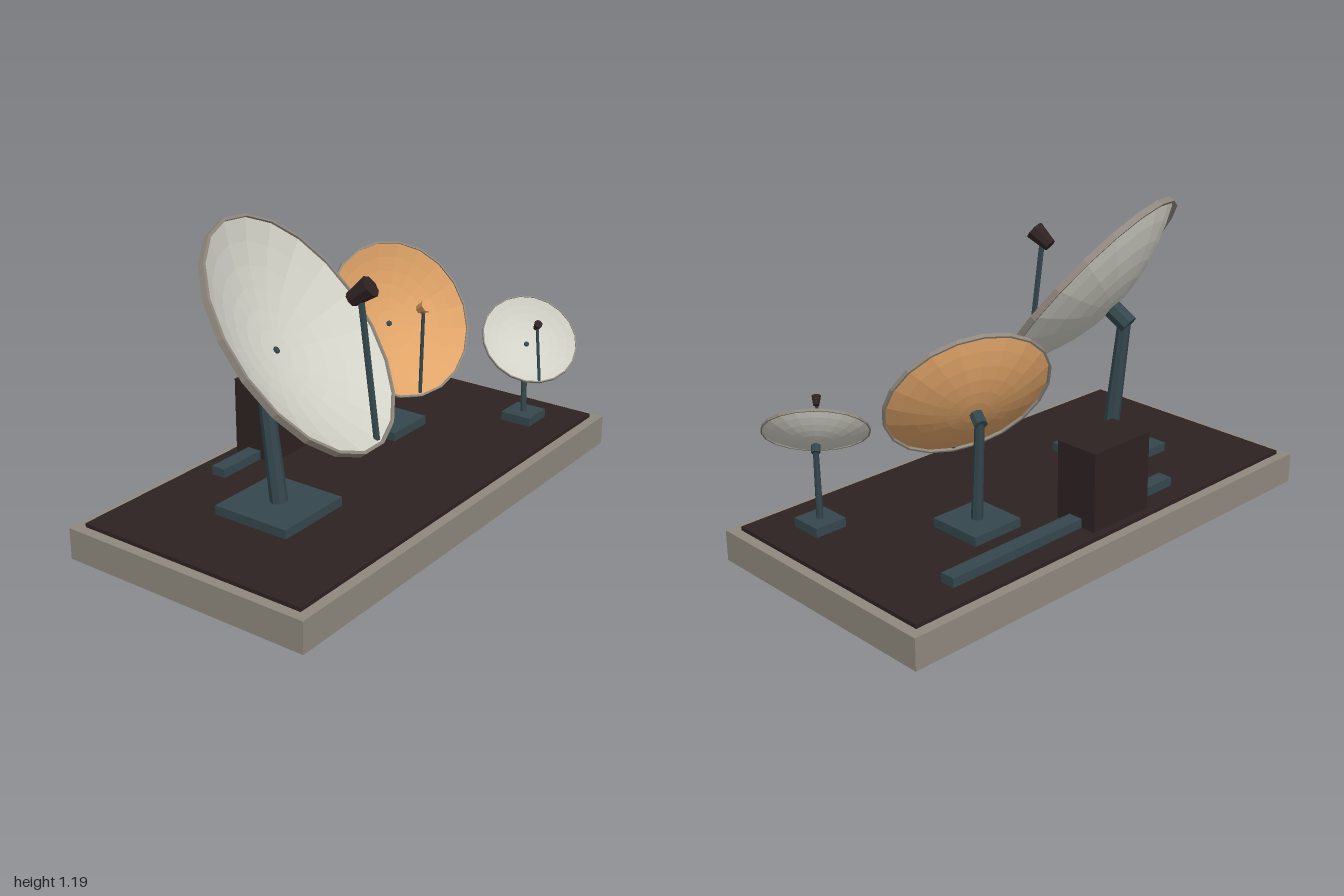
import * as THREE from 'three';

const mat = (name, color) => {
  const m = new THREE.MeshStandardMaterial({ color, flatShading: true, side: THREE.DoubleSide });
  m.name = name;
  return m;
};

export function createModel() {
  const concrete = mat('concrete', 0x8f887e);
  const dark = mat('dark brown', 0x2e2222);
  const steel = mat('blue steel', 0x34474d);
  const white = mat('off white', 0xd3d2c8);
  const orange = mat('orange', 0xe0a468);
  const model = new THREE.Group();
  model.name = 'antennaStation';

  const add = (parent, name, geometry, material, x = 0, y = 0, z = 0) => {
    const mesh = new THREE.Mesh(geometry, material);
    mesh.name = name;
    mesh.position.set(x, y, z);
    parent.add(mesh);
    return mesh;
  };
  const box = (name, w, h, d, m, x, y, z) =>
    add(model, name, new THREE.BoxGeometry(w, h, d), m, x, y + h / 2, z);

  // Tapered rod between two points
  const rod = (parent, name, a, b, rA, rB, sides, m) => {
    const dir = b.clone().sub(a);
    const mid = a.clone().add(b).multiplyScalar(0.5);
    const mesh = add(parent, name, new THREE.CylinderGeometry(rB, rA, dir.length(), sides), m, mid.x, mid.y, mid.z);
    mesh.quaternion.setFromUnitVectors(new THREE.Vector3(0, 1, 0), dir.normalize());
  };

  // Plinth, deck, equipment cabinet and cable duct
  box('plinth', 2, 0.12, 1.04, concrete, 0, 0, 0);
  box('deck', 1.92, 0.015, 0.96, dark, 0, 0.12, 0);
  box('cabinet', 0.29, 0.305, 0.18, dark, -0.045, 0.135, -0.36);
  box('cableDuct', 1.12, 0.035, 0.06, steel, 0.16, 0.135, -0.36);
  add(model, 'cabinetLamp', new THREE.SphereGeometry(0.01, 8, 6), orange, 0.06, 0.4, -0.268);

  // Each antenna: pad, leaning mast, and a tilted head whose local z is the dish axis
  const antenna = ({ name, x, y, z, R, yaw, pitch, pad, focus, back, mastR, hubR, strutR, boltR, skin, horn }) => {
    box(name + 'Pad', pad, 0.035, pad, steel, x, 0.135, z);

    const head = new THREE.Group();
    head.name = name + 'Head';
    head.position.set(x, y, z);
    head.rotation.set(-pitch, yaw, 0, 'YXZ');
    model.add(head);

    const axis = new THREE.Vector3(0, 0, 1).applyEuler(head.rotation);
    const hubPoint = new THREE.Vector3(x, y, z).addScaledVector(axis, -back);
    rod(model, name + 'Mast', new THREE.Vector3(x, 0.17, z), hubPoint, mastR, mastR * 0.8, 8, steel);

    const V = (a, b, c) => new THREE.Vector3(a, b, c);
    rod(head, 'hub', V(0, 0, -back - hubR * 0.6), V(0, 0, -0.004), hubR, hubR, 8, steel);
    rod(head, 'centreBolt', V(0, 0, -0.004), V(0, 0, 0.008), boltR, boltR, 8, steel);

    // Parabolic bowl
    const depth = R * 0.28;
    const bowl = [];
    for (let i = 0; i <= 6; i++) {
      const t = i / 6;
      bowl.push(new THREE.Vector2(Math.max(R * 0.985 * t, 0.0005), depth * t * t));
    }
    add(head, 'dish', new THREE.LatheGeometry(bowl, 20), skin).rotation.x = Math.PI / 2;

    // Rim band
    const rim = [[R, -0.04], [R, 0.012], [R * 0.975, 0.012], [R * 0.975, -0.04], [R, -0.04]]
      .map(([r, h]) => new THREE.Vector2(r, depth + h * R));
    add(head, 'rim', new THREE.LatheGeometry(rim, 20), concrete).rotation.x = Math.PI / 2;

    // Feed strut from the lower rim, and the flared feed horn
    rod(head, 'feedStrut', V(0, -R * 0.95, depth * 0.92), V(0, 0, focus), strutR, strutR, 6, steel);
    rod(head, 'feedHorn', V(0, 0, focus - R * 0.09), V(0, 0, focus + R * 0.1), R * 0.057, R * 0.086, 8, horn);
  };

  antenna({ name: 'large', x: -0.48, y: 0.74, z: 0, R: 0.466, yaw: 0.283, pitch: 0.663, pad: 0.32,
    focus: 0.39, back: 0.07, mastR: 0.033, hubR: 0.04, strutR: 0.012, boltR: 0.013, skin: white, horn: dark });
  antenna({ name: 'medium', x: 0.36, y: 0.575, z: -0.12, R: 0.315, yaw: -0.36, pitch: 0.524, pad: 0.22,
    focus: 0.27, back: 0.04, mastR: 0.022, hubR: 0.025, strutR: 0.007, boltR: 0.011, skin: orange, horn: orange });
  antenna({ name: 'small', x: 0.757, y: 0.457, z: 0.28, R: 0.194, yaw: -0.713, pitch: 0.8, pad: 0.13,
    focus: 0.165, back: 0.022, mastR: 0.013, hubR: 0.017, strutR: 0.006, boltR: 0.01, skin: white, horn: dark });

  return model;
}
